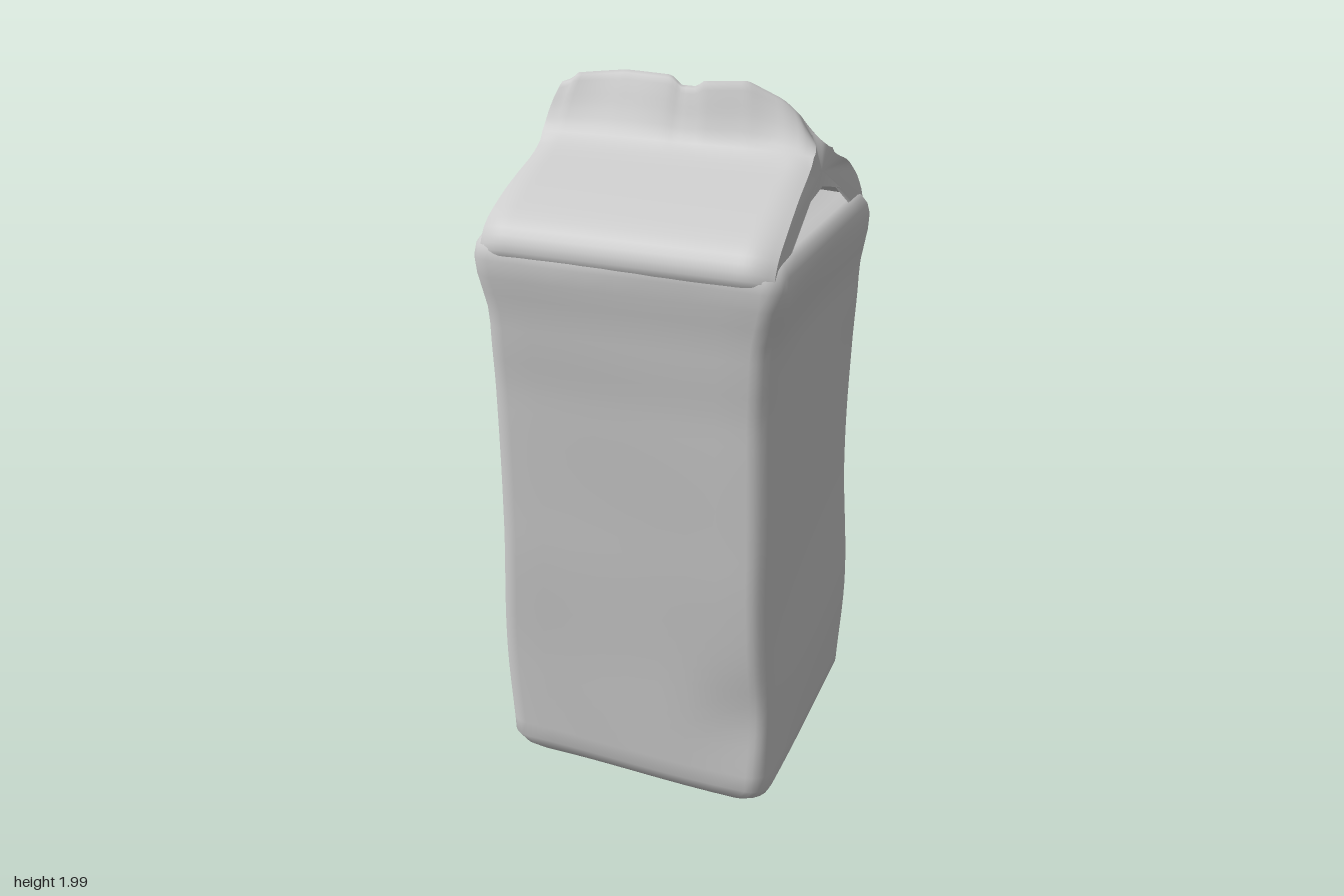
import * as THREE from 'three';

const material = new THREE.MeshStandardMaterial({ color: 0xcccccc, side: THREE.DoubleSide });

// Skin a list of closed rings; each end is closed with a crisp fan around a given point.
function loft(name, rings, startPoint, endPoint) {
  const n = rings[0].length, pos = [], idx = [];
  rings.forEach(r => r.forEach(p => pos.push(...p)));
  for (let i = 0; i < rings.length - 1; i++) {
    for (let j = 0; j < n; j++) {
      const a = i * n + j, b = i * n + (j + 1) % n;
      idx.push(a, a + n, b, b, a + n, b + n);
    }
  }
  const cap = (ring, centre, flip) => {
    const base = pos.length / 3;
    pos.push(...centre);
    ring.forEach(p => pos.push(...p));
    for (let j = 0; j < n; j++) {
      const a = base + 1 + j, b = base + 1 + (j + 1) % n;
      idx.push(base, flip ? b : a, flip ? a : b);
    }
  };
  cap(rings[0], startPoint, false);
  cap(rings[rings.length - 1], endPoint, true);
  const g = new THREE.BufferGeometry();
  g.setAttribute('position', new THREE.Float32BufferAttribute(pos, 3));
  g.setIndex(idx);
  g.computeVertexNormals();
  const mesh = new THREE.Mesh(g, material);
  mesh.name = name;
  return mesh;
}

// Piecewise linear lookup with eased steps; rows are [key, v1, v2, ...]
function lookup(rows, k, ease = true) {
  let i = 0;
  while (i < rows.length - 2 && k > rows[i + 1][0]) i++;
  const a = rows[i], b = rows[i + 1];
  let t = THREE.MathUtils.clamp((k - a[0]) / (b[0] - a[0]), 0, 1);
  if (ease) t = t * t * (3 - 2 * t);
  return a.slice(1).map((v, c) => v + (b[c + 1] - v) * t);
}

// Rounded rectangle ring at height y
function ringAt(y, x0, x1, z0, z1, r) {
  const pts = [], corners = [[x1 - r, z1 - r], [x0 + r, z1 - r], [x0 + r, z0 + r], [x1 - r, z0 + r]];
  corners.forEach(([cx, cz], q) => {
    const arc = [];
    for (let k = 0; k <= 5; k++) {
      const a = (q + k / 5) * Math.PI / 2;
      arc.push([cx + r * Math.cos(a), y, cz + r * Math.sin(a)]);
    }
    pts.push(...arc);
    // straight run to the next corner
    const [nx, nz] = corners[(q + 1) % 4], e = (q + 1) * Math.PI / 2;
    const end = [nx + r * Math.cos(e), y, nz + r * Math.sin(e)], from = arc[5];
    for (let k = 1; k < 8; k++) pts.push(from.map((v, c) => v + (end[c] - v) * k / 8));
  });
  return pts;
}

// Slightly dented carton body with rounded base and a tucked-in top floor
function makeBody() {
  // height, left x, right x, back z, front z
  const walls = [
    [0, -0.41, 0.40, -0.415, 0.375], [0.35, -0.42, 0.41, -0.415, 0.375], [0.8, -0.405, 0.395, -0.415, 0.385],
    [1.2, -0.40, 0.395, -0.415, 0.39], [1.4, -0.40, 0.40, -0.415, 0.40], [1.58, -0.43, 0.425, -0.42, 0.415],
    [1.8, -0.43, 0.425, -0.42, 0.415],
  ];
  const rings = [];
  const add = (y, inset, r) => {
    const [x0, x1, z0, z1] = lookup(walls, y);
    rings.push(ringAt(y, x0 + inset, x1 - inset, z0 + inset, z1 - inset, r));
  };
  [[0.02, 0.3, 0.02], [0.012, 0.16, 0.03], [0.008, 0.075, 0.05], [0.02, 0.04, 0.06], [0.045, 0.015, 0.065]]
    .forEach(s => add(...s));
  for (let i = 0; i <= 32; i++) add(0.08 + 1.5 * i / 32, 0, 0.06);
  [[1.61, 0.006, 0.06], [1.632, 0.02, 0.055], [1.642, 0.04, 0.05], [1.645, 0.07, 0.05],
    [1.66, 0.13, 0.04], [1.69, 0.22, 0.03], [1.73, 0.38, 0.01]].forEach(s => add(...s));
  // hand-worn unevenness and a crease low on the front corner
  rings.forEach(ring => ring.forEach(p => {
    const [x, y, z] = p;
    if (y > 1.6) return;
    p[0] += 0.004 * Math.sin(y * 7 + z * 5);
    p[2] += 0.004 * Math.sin(y * 6 + x * 8);
    const d = Math.exp(-((x - 0.33) ** 2 / 0.006 + (y - 0.3) ** 2 / 0.02));
    if (z > 0.2) p[2] -= 0.02 * d;
  }));
  return loft('cartonBody', rings, [0, 0.022, -0.02], [0, 1.735, 0]);
}

// Folded gable roof with a ragged sealed ridge and open side pockets underneath
function makeRoof() {
  const v = ([z, y]) => new THREE.Vector3(0, y, z);
  const outer = new THREE.CatmullRomCurve3([
    [0.40, 1.57], [0.416, 1.61], [0.39, 1.665], [0.3, 1.72], [0.2, 1.765], [0.11, 1.803], [0.06, 1.84],
    [0.033, 1.9], [0.015, 1.96], [0, 2.0], [-0.016, 1.96], [-0.033, 1.9], [-0.058, 1.848], [-0.1, 1.82],
    [-0.2, 1.785], [-0.3, 1.75], [-0.38, 1.70], [-0.42, 1.63], [-0.41, 1.57],
  ].map(v), false, 'centripetal').getPoints(54);
  const under = [[-0.34, 1.64], [-0.25, 1.675], [-0.12, 1.715], [0, 1.745],
    [0.12, 1.715], [0.24, 1.67], [0.33, 1.635]].map(v);
  const profile = [...outer, ...under];
  const ridge = [[-0.385, 1.96], [-0.35, 1.97], [-0.33, 1.985], [-0.18, 2.0], [-0.03, 1.998], [0, 1.975],
    [0.05, 1.975], [0.07, 1.99], [0.2, 1.997], [0.3, 1.955], [0.35, 1.92], [0.39, 1.87]];
  const rings = [], steps = 56;
  for (let i = 0; i <= steps; i++) {
    const x = -0.385 + 0.775 * i / steps;
    const top = lookup(ridge, x, false)[0];
    const end = Math.max(0, (Math.abs(x) - 0.32) / 0.07);
    rings.push(profile.map((p, j) => {
      let y = p.y, z = p.z, px = x;
      if (y > 1.83) {
        // sealed fin: torn upper edge, slight waviness, narrower at the top
        const f = (y - 1.83) / 0.17;
        y = 1.83 + f * (top - 1.83);
        z += f * (0.012 * Math.sin(x * 11 + 0.6) - 0.008);
        px *= 1 - 0.09 * f * f;
      } else if (j < outer.length) {
        // rounded eave corners
        const low = THREE.MathUtils.smoothstep(Math.abs(z), 0.15, 0.4);
        z *= 1 - 0.045 * low * end * end;
        y -= 0.012 * end * end;
        // round closure pushing up through the rear slope
        const r = Math.hypot(x, z + 0.23) / 0.17;
        if (r < 1) y += 0.05 * (1 - r * r) ** 1.5;
      }
      // wavy side edges
      px += 0.008 * end * Math.sin(z * 14 + y * 9) * Math.sign(x);
      return [px, y, z];
    }));
  }
  return loft('gableRoof', rings, [-0.382, 1.785, 0], [0.387, 1.785, 0]);
}

export function createModel() {
  const group = new THREE.Group();
  group.name = 'carton';
  group.add(makeBody(), makeRoof());
  return group;
}
